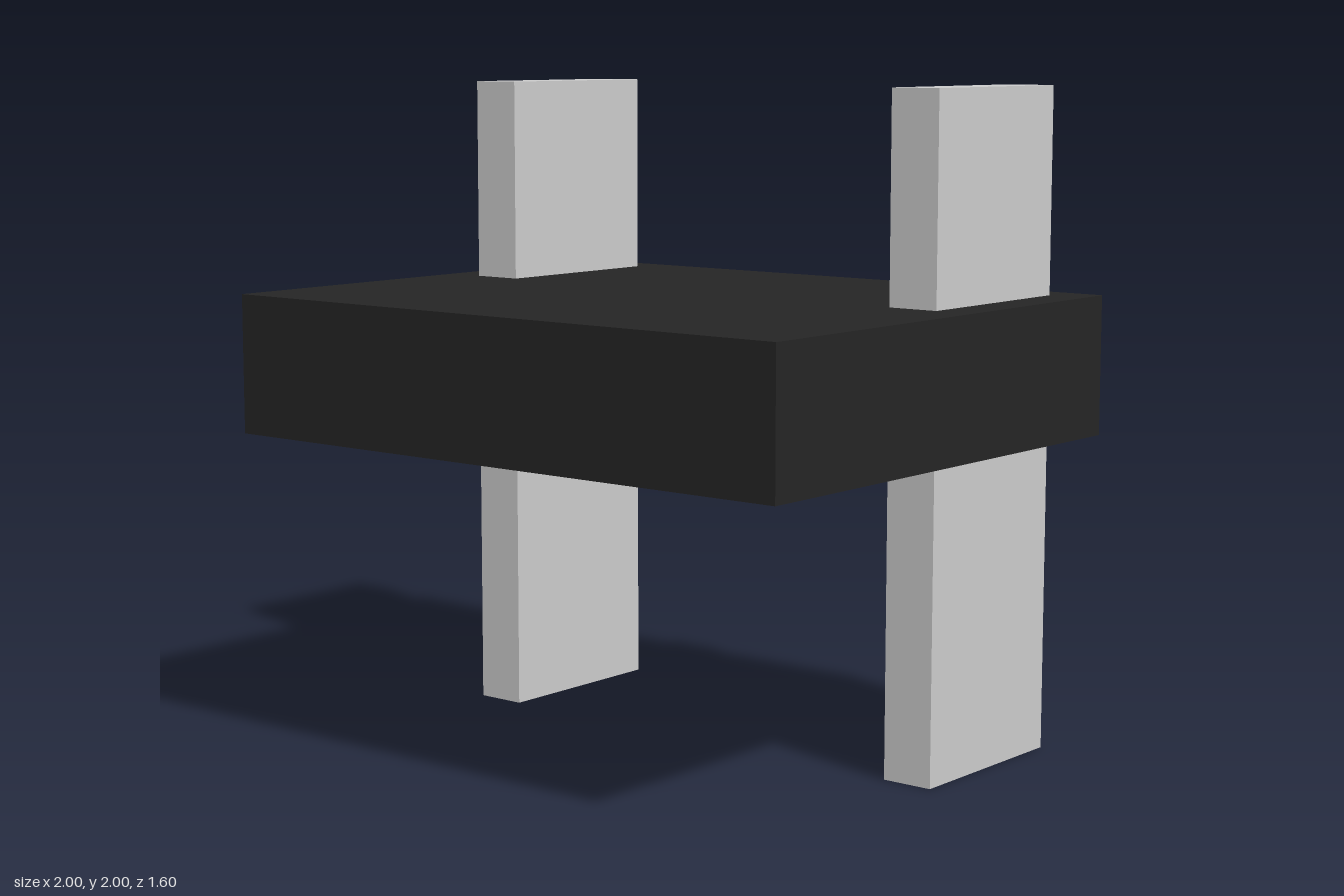
import * as THREE from 'three';

export function createModel() {
  const model = new THREE.Group();
  const grey = new THREE.MeshStandardMaterial({ color: 0xcccccc });
  const dark = new THREE.MeshStandardMaterial({ color: 0x252525 });

  function addBox(name, size, position, material) {
    const mesh = new THREE.Mesh(new THREE.BoxGeometry(...size), material);
    mesh.name = name;
    mesh.position.set(...position);
    model.add(mesh);
  }

  // Thick dark platform
  addBox('platform', [2, 0.42, 1.6], [0, 1.17, 0], dark);

  // Upright planks passing through the platform near its back corners
  for (const side of [1, -1]) {
    addBox(side > 0 ? 'leftPost' : 'rightPost', [0.16, 2, 0.6], [side * 0.8, 1, -0.4], grey);
  }

  return model;
}
